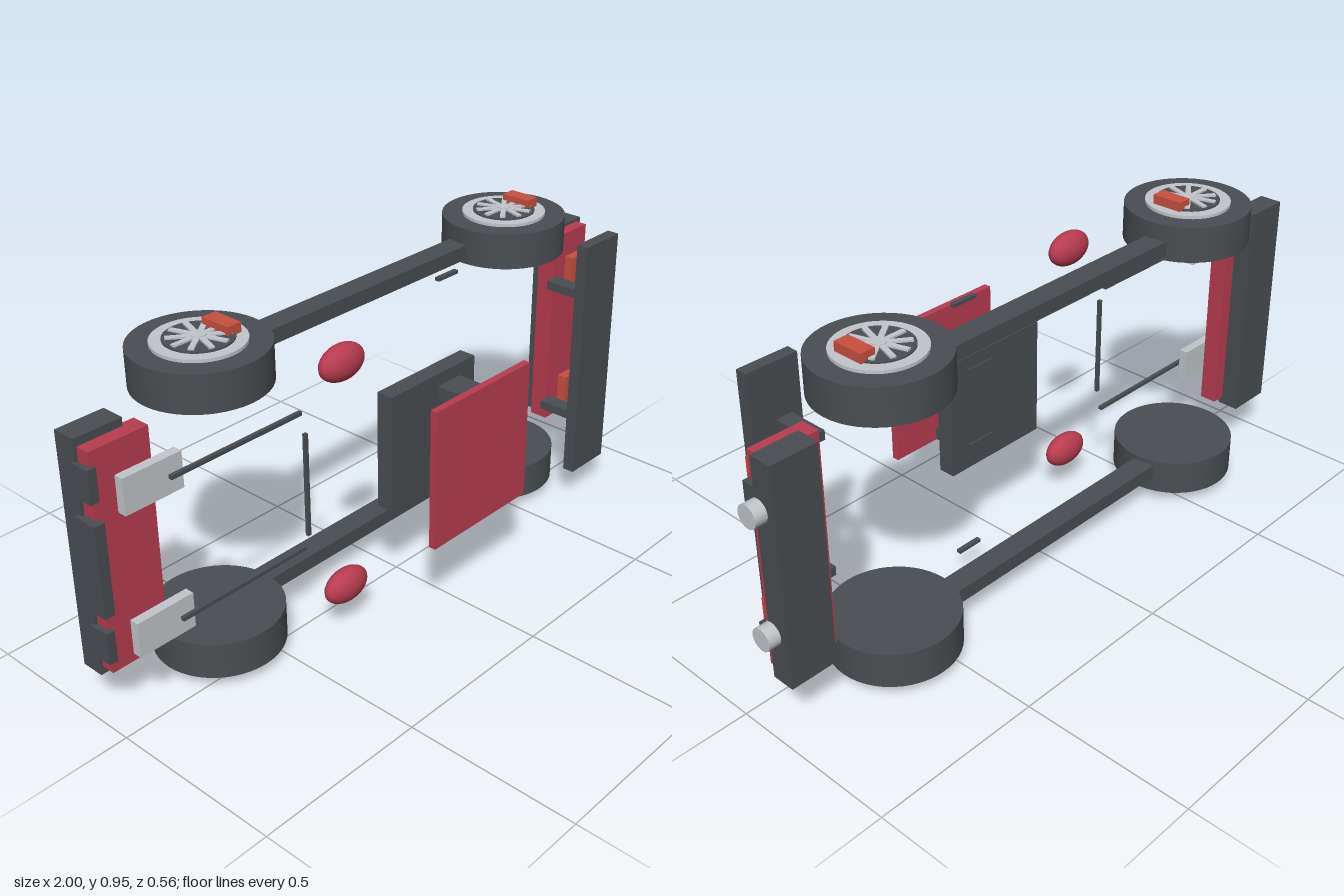
import * as THREE from 'three';

export function createModel() {
  const car = new THREE.Group();
  car.name = 'carParts';
  const mat = (name, color) => {
    const m = new THREE.MeshStandardMaterial({ color });
    m.name = name;
    return m;
  };
  const dark = mat('charcoal', 0x4a4e52);
  const red = mat('bodyRed', 0xb83c50);
  const silver = mat('silver', 0xc2c6ca);
  const orange = mat('orangeRed', 0xc8503f);

  // The car lies on its side: front at -x, roof at +z, width along y
  const MID = 0.473;

  function add(name, geometry, material, x, y, z, parent = car) {
    const mesh = new THREE.Mesh(geometry, material);
    mesh.name = name;
    mesh.position.set(x, y, z);
    parent.add(mesh);
    return mesh;
  }
  // Box given by its limits on each axis
  function box(name, material, x0, x1, y0, y1, z0, z1) {
    return add(name, new THREE.BoxGeometry(x1 - x0, y1 - y0, z1 - z0), material,
      (x0 + x1) / 2, (y0 + y1) / 2, (z0 + z1) / 2);
  }
  // Box across the middle plane, with half width w
  const centred = (name, material, x0, x1, w, z0, z1) =>
    box(name, material, x0, x1, MID - w, MID + w, z0, z1);
  // Two boxes, a to b outwards from the middle plane
  function pair(name, material, x0, x1, a, b, z0, z1) {
    box(name, material, x0, x1, MID + a, MID + b, z0, z1);
    box(name, material, x0, x1, MID - b, MID - a, z0, z1);
  }

  // Wheels: tyre, rim ring, recessed-looking disc, spokes and caliper
  function wheel(x, s) {
    const g = new THREE.Group();
    g.name = 'wheel';
    g.position.set(x, MID, -0.1);
    car.add(g);
    const disc = (name, m, r, a, b) =>
      add(name, new THREE.CylinderGeometry(r, r, b - a, 48), m, 0, s * (a + b) / 2, 0, g);
    disc('tyre', dark, 0.18, 0.332, 0.437);
    disc('rimRing', silver, 0.121, 0.43, 0.446);
    disc('brakeDisc', dark, 0.09, 0.44, 0.45);
    disc('hub', silver, 0.02, 0.445, 0.457);
    for (let i = 0; i < 5; i++) {
      const spoke = add('spokes', new THREE.BoxGeometry(0.162, 0.01, 0.015), silver, 0, s * 0.45, 0, g);
      spoke.rotation.y = i * Math.PI / 5;
    }
    add('caliper', new THREE.BoxGeometry(0.044, 0.036, 0.092), orange, 0.068, s * 0.455, 0.007, g);
  }
  for (const x of [-0.596, 0.583]) for (const s of [1, -1]) wheel(x, s);

  // Side sills and door handles
  pair('sill', dark, -0.5, 0.5, 0.346, 0.389, -0.16, -0.092);
  pair('doorHandle', dark, 0.163, 0.243, 0.381, 0.391, -0.004, 0.01);

  // Front bumper with grille and vents
  centred('frontBumper', dark, -0.988, -0.847, 0.334, -0.16, -0.092);
  centred('frontPanel', red, -0.98, -0.805, 0.311, -0.105, -0.052);
  centred('grille', dark, -1, -0.97, 0.13, -0.105, -0.03);
  pair('frontVent', dark, -0.995, -0.97, 0.181, 0.273, -0.1, -0.04);
  pair('headlight', silver, -0.942, -0.767, 0.152, 0.252, -0.012, 0.015);

  // Bonnet lines
  pair('bonnetLine', dark, -0.813, -0.387, 0.197, 0.208, 0.018, 0.029);
  centred('bonnetCrossLine', dark, -0.398, -0.387, 0.152, 0.038, 0.048);

  // Rear bumper, lights and exhausts
  centred('rearBumper', dark, 0.826, 0.965, 0.32, -0.158, -0.089);
  centred('rearPanel', red, 0.785, 0.945, 0.311, -0.11, -0.052);
  pair('rearLight', orange, 0.807, 0.914, 0.155, 0.252, -0.027, 0.002);
  pair('rearReflector', dark, 0.935, 0.962, 0.175, 0.232, -0.1, -0.047);
  for (const s of [1, -1]) {
    const pipe = add('exhaust', new THREE.CylinderGeometry(0.032, 0.032, 0.06, 24), silver,
      0.97, MID + s * 0.177, -0.102);
    pipe.rotation.z = -Math.PI / 2;
  }

  // Rear wing on two struts
  centred('wing', dark, 0.65, 0.805, 0.374, 0.122, 0.158);
  pair('wingStrut', dark, 0.682, 0.73, 0.19, 0.217, 0, 0.124);

  // Roof panel and cabin base with seat backs
  centred('roof', red, -0.163, 0.222, 0.206, 0.263, 0.284);
  centred('cabinBase', dark, -0.136, 0.206, 0.175, 0.055, 0.106);
  pair('seatBack', dark, 0.05, 0.142, 0.099, 0.138, 0.05, 0.186);

  // Door mirrors
  for (const s of [1, -1]) {
    const mirror = add('mirror', new THREE.SphereGeometry(1, 24, 16), red, -0.302, MID + s * 0.335, 0.088);
    mirror.scale.set(0.075, 0.05, 0.037);
  }
  return car;
}
